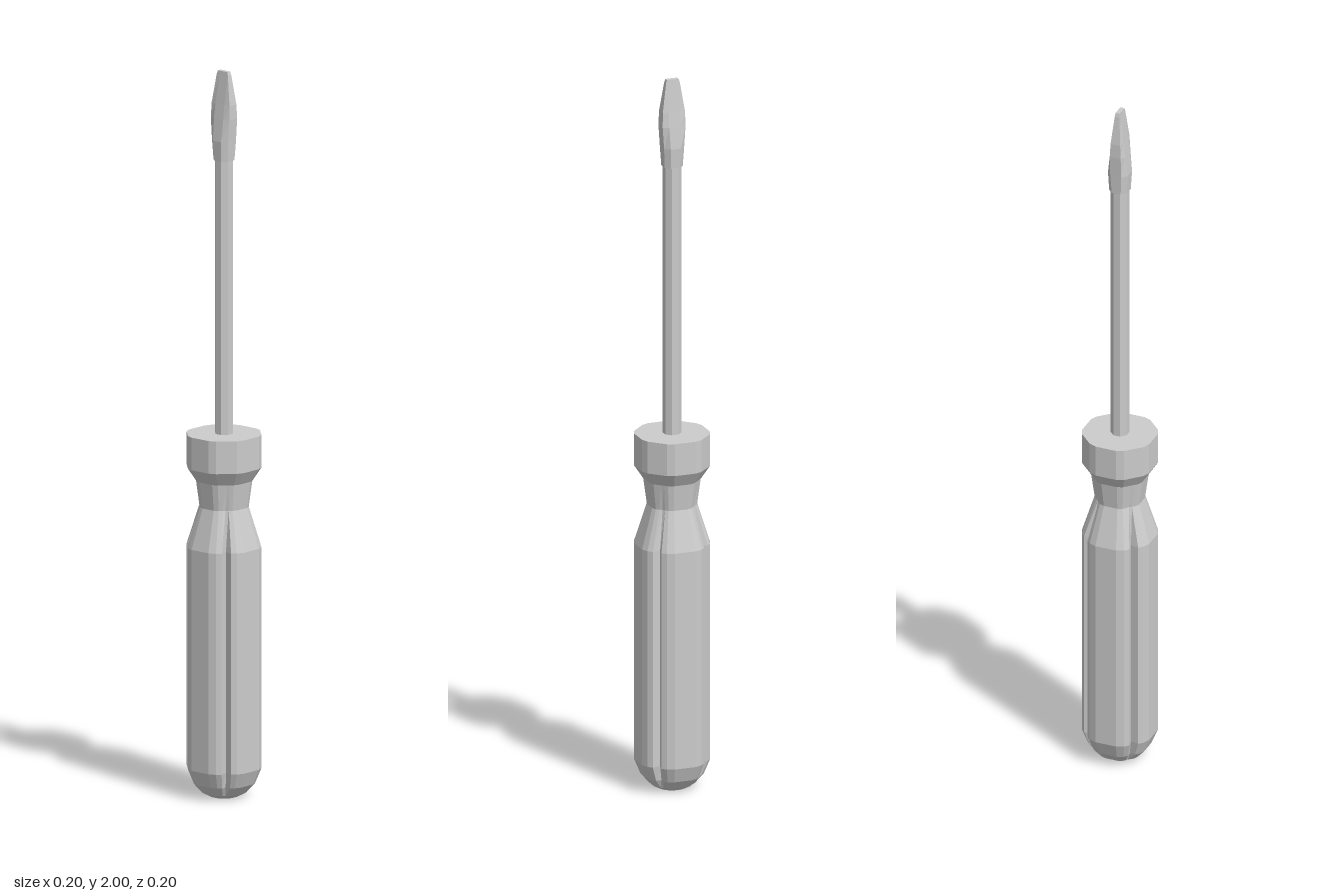
import * as THREE from 'three';

const steel = () => new THREE.MeshStandardMaterial({ color: 0xcccccc, flatShading: true });

// Closed skin through equal-length rings, each { y, pts: [[x, z], ...] }, bottom to top
function loft(name, rings) {
  const n = rings[0].pts.length, pos = [], idx = [];
  rings.forEach(({ y, pts }) => pts.forEach(([x, z]) => pos.push(x, y, z)));
  for (let r = 0; r < rings.length - 1; r++) {
    for (let i = 0; i < n; i++) {
      const j = (i + 1) % n, a = r * n + i, b = r * n + j;
      idx.push(a, a + n, b, b, a + n, b + n);
    }
  }
  // end caps
  const last = rings.length - 1, c = pos.length / 3;
  pos.push(0, rings[0].y, 0, 0, rings[last].y, 0);
  for (let i = 0; i < n; i++) {
    const j = (i + 1) % n;
    idx.push(c, i, j, c + 1, last * n + j, last * n + i);
  }
  const indexed = new THREE.BufferGeometry();
  indexed.setAttribute('position', new THREE.Float32BufferAttribute(pos, 3));
  indexed.setIndex(idx);
  const geo = indexed.toNonIndexed();
  geo.computeVertexNormals();
  const mesh = new THREE.Mesh(geo, steel());
  mesh.name = name;
  return mesh;
}

// Chamfered square section with a groove at each diagonal; g = 0.07 means no groove
function handleRing(y, s, g = 0.07) {
  const quarter = [[0.098, 0.03], [0.09, 0.05], [0.079, 0.061], [g, g], [0.061, 0.079], [0.05, 0.09], [0.03, 0.098]];
  const pts = [];
  for (let q = 0; q < 4; q++) {
    const c = Math.round(Math.cos(q * Math.PI / 2)), k = Math.round(Math.sin(q * Math.PI / 2));
    quarter.forEach(([x, z]) => pts.push([s * (x * c - z * k), s * (x * k + z * c)]));
  }
  return { y, pts };
}

// Eight-sided blade section: half width w, half depth d, half depth e at the side edges
function bladeRing(y, w, d, e) {
  const m = w * 0.5;
  return { y, pts: [[w, -e], [w, e], [m, d], [-m, d], [-w, e], [-w, -e], [-m, -d], [m, -d]] };
}

export function createModel() {
  const group = new THREE.Group();
  group.name = 'screwdriver';

  // Grip with rounded butt, long grooves, narrow neck
  group.add(loft('grip', [
    handleRing(0, 0.38),
    handleRing(0.012, 0.6, 0.068),
    handleRing(0.038, 0.83, 0.06),
    handleRing(0.08, 1, 0.056),
    handleRing(0.69, 1, 0.056),
    handleRing(0.8, 0.66, 0.068),
    handleRing(0.875, 0.76),
  ]));

  // Collar flaring out above the neck
  group.add(loft('collar', [
    handleRing(0.873, 0.76),
    handleRing(0.91, 1),
    handleRing(1, 1),
  ]));

  // Shaft
  const shaft = new THREE.Mesh(new THREE.CylinderGeometry(0.025, 0.025, 0.78, 8).rotateY(Math.PI / 8), steel());
  shaft.position.y = 1.37;
  shaft.name = 'shaft';
  group.add(shaft);

  // Flat blade, swelling then tapering to the tip
  group.add(loft('blade', [
    bladeRing(1.755, 0.026, 0.026, 0.013),
    bladeRing(1.81, 0.029, 0.029, 0.016),
    bladeRing(1.87, 0.033, 0.022, 0.016),
    bladeRing(1.91, 0.032, 0.0165, 0.014),
    bladeRing(1.99, 0.02, 0.007, 0.007),
    bladeRing(2, 0.017, 0.006, 0.006),
  ]));

  return group;
}
